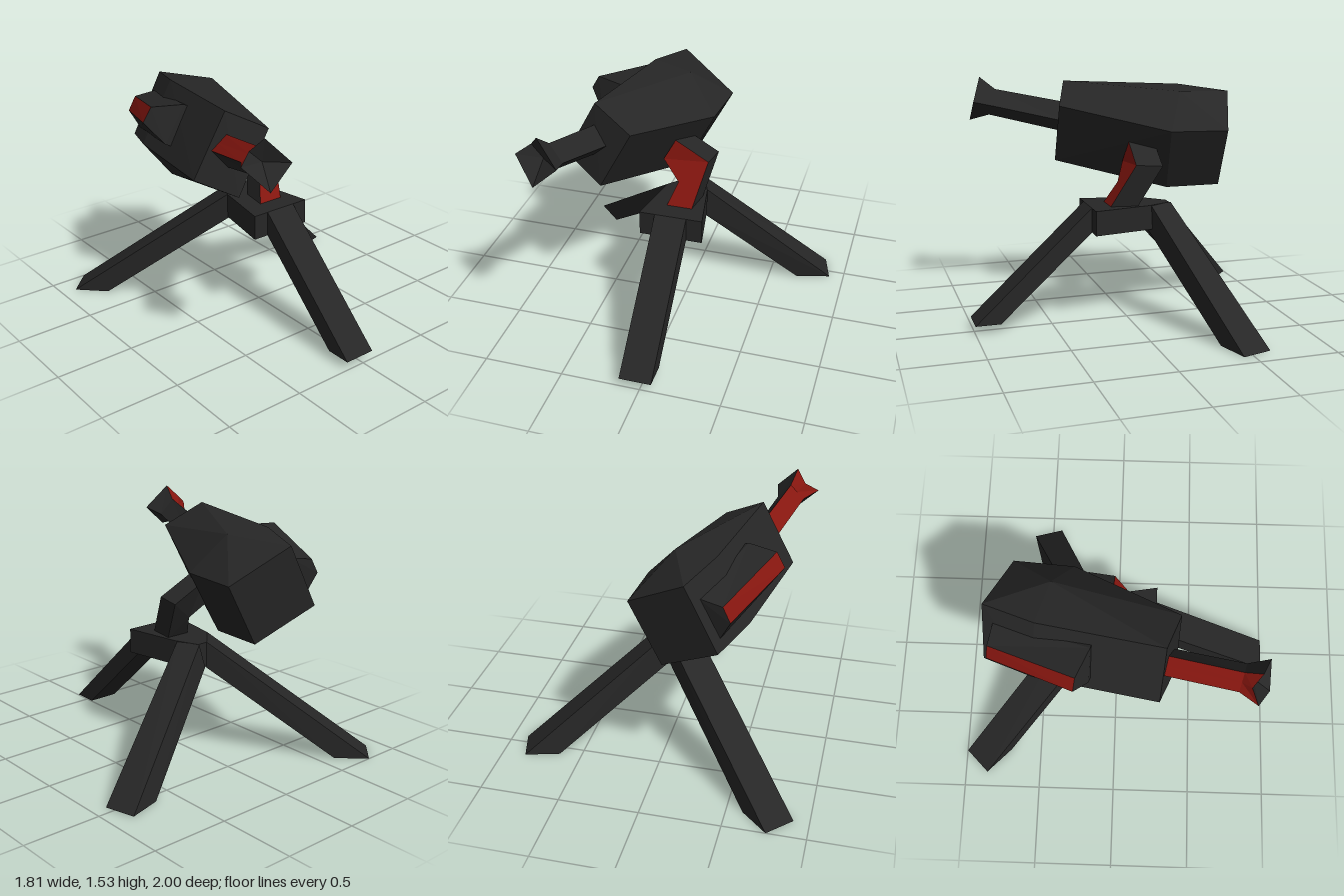
import * as THREE from 'three';
import { ConvexGeometry } from 'three/addons/geometries/ConvexGeometry.js';

const V = (p) => new THREE.Vector3(...p);
const material = (color) => new THREE.MeshStandardMaterial({ color, flatShading: true, side: THREE.DoubleSide });
const dark = material(0x262626);
const red = material(0x86160f);

// Convex block around a few corners
function block(name, corners) {
  const mesh = new THREE.Mesh(new ConvexGeometry(corners.map(V)), dark);
  mesh.name = name;
  return mesh;
}

// Flat polygons, each fanned from its first corner
function faces(name, polygons, mat) {
  const pos = [];
  for (const poly of polygons) {
    for (let i = 1; i < poly.length - 1; i++) pos.push(...poly[0], ...poly[i], ...poly[i + 1]);
  }
  const geo = new THREE.BufferGeometry();
  geo.setAttribute('position', new THREE.Float32BufferAttribute(pos, 3));
  geo.computeVertexNormals();
  const mesh = new THREE.Mesh(geo, mat);
  mesh.name = name;
  return mesh;
}

// Quads joining successive cross-sections, for the chosen sides only
function walls(rings, sides) {
  const quads = [];
  for (let r = 0; r < rings.length - 1; r++) {
    const a = rings[r], b = rings[r + 1];
    for (const i of sides ?? a.keys()) {
      const j = (i + 1) % a.length;
      quads.push([a[i], a[j], b[j], b[i]]);
    }
  }
  return quads;
}

const atHeight = (y, list) => list.map(([x, z]) => [x, y, z]);

export function createModel() {
  const model = new THREE.Group();

  // Tripod hub
  const plan = [[-0.23, 0.25], [0.175, 0.25], [0.11, -0.12], [0.05, -0.27], [-0.02, -0.27], [-0.16, -0.12]];
  model.add(block('hub', [...atHeight(0.6, plan), ...atHeight(0.757, plan)]));

  // Three splayed legs, cut level at the feet
  model.add(block('frontLeg', [-0.13, 0.073].flatMap((x) => [
    [x, 0.757, 0.25], [x, 0.055, 1], [x, 0.055, 0.84], [x, 0.6, 0.25],
  ])));
  model.add(block('backLeftLeg', [
    ...atHeight(0.757, [[0.1, -0.13], [0.05, -0.28]]),
    ...atHeight(0.6, [[0.04, -0.12], [0, -0.28]]),
    ...atHeight(0, [[0.905, -0.44], [0.852, -0.63], [0.64, -0.57], [0.69, -0.38]]),
  ]));
  model.add(block('backRightLeg', [
    ...atHeight(0.757, [[-0.16, -0.12], [-0.02, -0.27]]),
    ...atHeight(0.6, [[-0.15, -0.11], [-0.01, -0.26]]),
    ...atHeight(0, [[-0.905, -0.857], [-0.762, -1], [-0.6, -0.85], [-0.745, -0.7]]),
  ]));

  // Bent support arm with a red front
  const arm = new THREE.Group();
  arm.name = 'supportArm';
  const front = [
    [-0.09, 0.75, 0.13], [0.073, 0.75, 0.13], [0.14, 1.025, -0.02],
    [-0.077, 1.138, -0.038], [-0.15, 1.005, -0.018], [-0.034, 0.893, 0.05],
  ];
  const back = front.map(([x, y, z]) => [x + 0.025, y - 0.01, z - 0.165]);
  const split = (p) => [[p[0], p[1], p[2], p[5]], [p[2], p[3], p[4], p[5]]];
  arm.add(
    faces('armSides', walls([back, front]), dark),
    faces('armFront', split(front), red),
    faces('armBack', split(back).map((q) => q.reverse()), dark),
  );
  model.add(arm);

  // Tilted body: four-sided ends and a swollen six-sided middle
  model.add(block('body', [
    [-0.475, 1.5, 0.29], [-0.228, 1.365, 0.378], [-0.436, 0.98, 0.363], [-0.683, 1.12, 0.265],
    [-0.338, 1.47, -0.46], [-0.077, 1.45, -0.38], [0.115, 1.22, -0.26],
    [-0.087, 0.826, -0.3], [-0.4, 0.874, -0.39], [-0.54, 1.08, -0.49],
    [-0.217, 1.426, -0.77], [0.143, 1.215, -0.63], [-0.06, 0.83, -0.65], [-0.418, 1.035, -0.79],
  ]));

  // Raised side panel with a red face
  const panel = new THREE.Group();
  panel.name = 'sidePanel';
  const base = [[-0.286, 1.33, -0.71], [-0.413, 1.095, -0.72], [-0.597, 1.195, -0.15], [-0.46, 1.42, -0.14]];
  const outer = [[-0.43, 1.31, -0.74], [-0.476, 1.22, -0.75], [-0.693, 1.33, -0.233], [-0.64, 1.42, -0.22]];
  const sunk = base.map(([x, y, z]) => [x + 0.06, y - 0.03, z + 0.015]);
  panel.add(
    faces('panelSides', walls([sunk, base, outer]), dark),
    faces('panelFace', [outer], red),
  );
  model.add(panel);

  // Barrel with flared, hollow muzzle; sections run top, notch, left, bottom, right
  const barrel = new THREE.Group();
  barrel.name = 'barrel';
  const section = (top, left, bottom, right, notch = 0) => {
    const mid = top.map((v, i) => (v + left[i]) / 2 - notch * [-0.24, 0.19, 0.95][i]);
    return [top, mid, left, bottom, right];
  };
  const rings = [
    section([-0.465, 1.355, 0.26], [-0.557, 1.27, 0.24], [-0.474, 1.16, 0.28], [-0.387, 1.244, 0.31]),
    section([-0.585, 1.447, 0.724], [-0.677, 1.37, 0.7], [-0.59, 1.28, 0.767], [-0.5, 1.345, 0.75]),
    section([-0.615, 1.527, 0.82], [-0.76, 1.395, 0.804], [-0.63, 1.245, 0.89], [-0.48, 1.378, 0.885], 0.05),
  ];
  const rim = rings[2];
  const throat = [-0.6, 1.38, 0.78];
  barrel.add(
    faces('barrelRedSide', walls(rings, [0, 1]), red),
    faces('barrelDarkSides', walls(rings, [2, 3, 4]), dark),
    faces('muzzleHollow', rim.map((p, i) => [throat, p, rim[(i + 1) % rim.length]]), dark),
  );
  model.add(barrel);

  return model;
}
